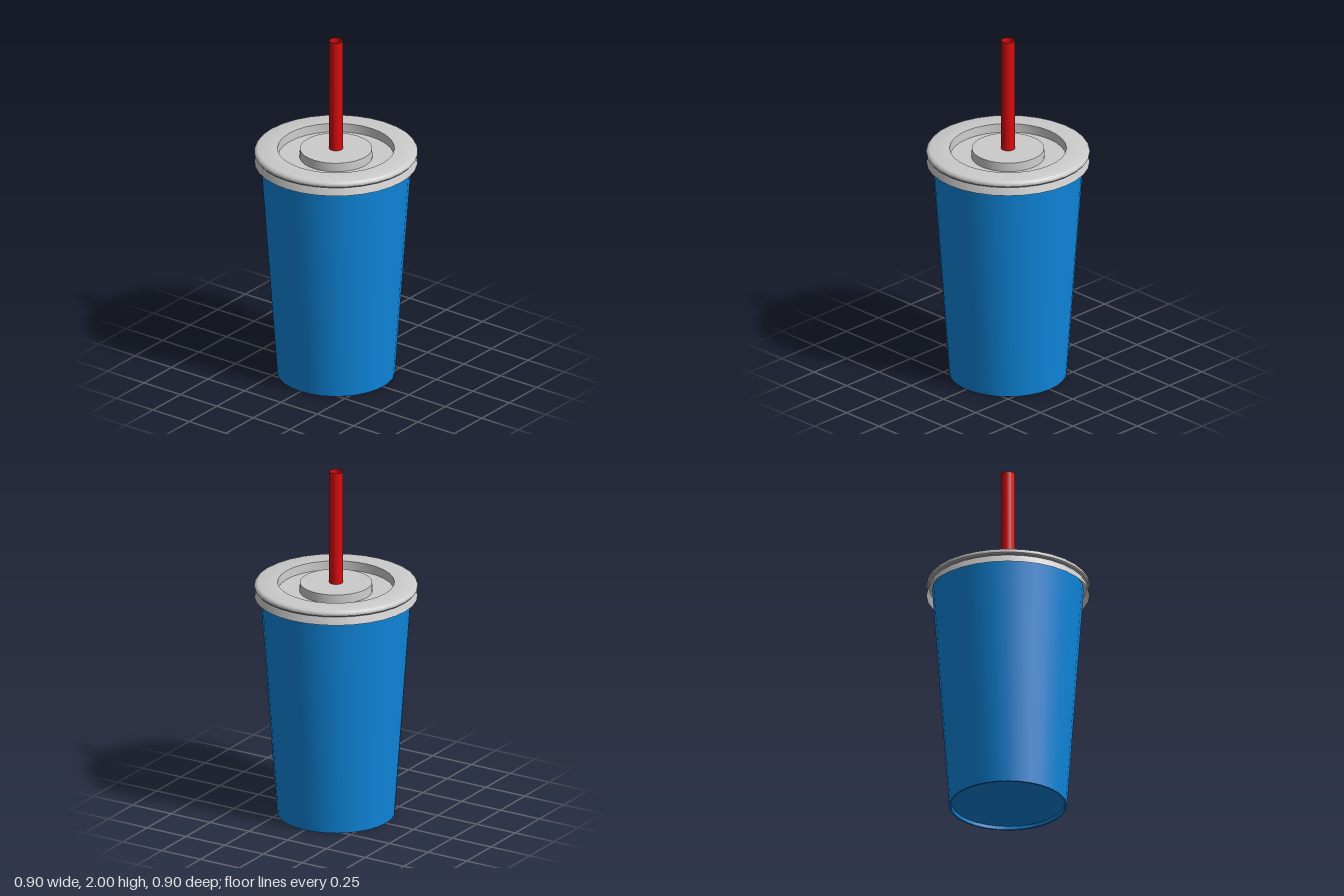
import * as THREE from 'three';
import { toCreasedNormals } from 'three/addons/utils/BufferGeometryUtils.js';

// Thin surface of revolution from [radius, height] pairs, with sharp corners kept
function turned(name, color, profile, sides = 32) {
  const points = profile.map(([r, y]) => new THREE.Vector2(r, y));
  const geometry = toCreasedNormals(new THREE.LatheGeometry(points, sides), 0.6);
  const material = new THREE.MeshStandardMaterial({ color, side: THREE.DoubleSide });
  const mesh = new THREE.Mesh(geometry, material);
  mesh.name = name;
  return mesh;
}

export function createModel() {
  const model = new THREE.Group();
  model.name = 'drinkCup';

  // Tapered cup with a slightly raised floor inside a thin foot ring
  model.add(turned('cup', 0x0f87dd, [
    [0, 0.02], [0.312, 0.02], [0.312, 0], [0.323, 0], [0.415, 1.3],
  ]));

  // Lid: flared skirt, groove, rounded bead, sunken ring, raised centre with straw hole
  model.add(turned('lid', 0xcccccc, [
    [0.447, 1.268], [0.432, 1.312],
    [0.442, 1.315], [0.448, 1.323], [0.448, 1.335], [0.442, 1.344], [0.428, 1.35],
    [0.32, 1.35], [0.318, 1.3], [0.2, 1.3], [0.198, 1.35], [0.037, 1.35],
  ]));

  // Hollow straw reaching down into the cup
  model.add(turned('straw', 0xd80d0d, [
    [0.035, 2], [0.035, 0.06], [0.038, 0.06], [0.038, 2], [0.035, 2],
  ]));

  return model;
}
